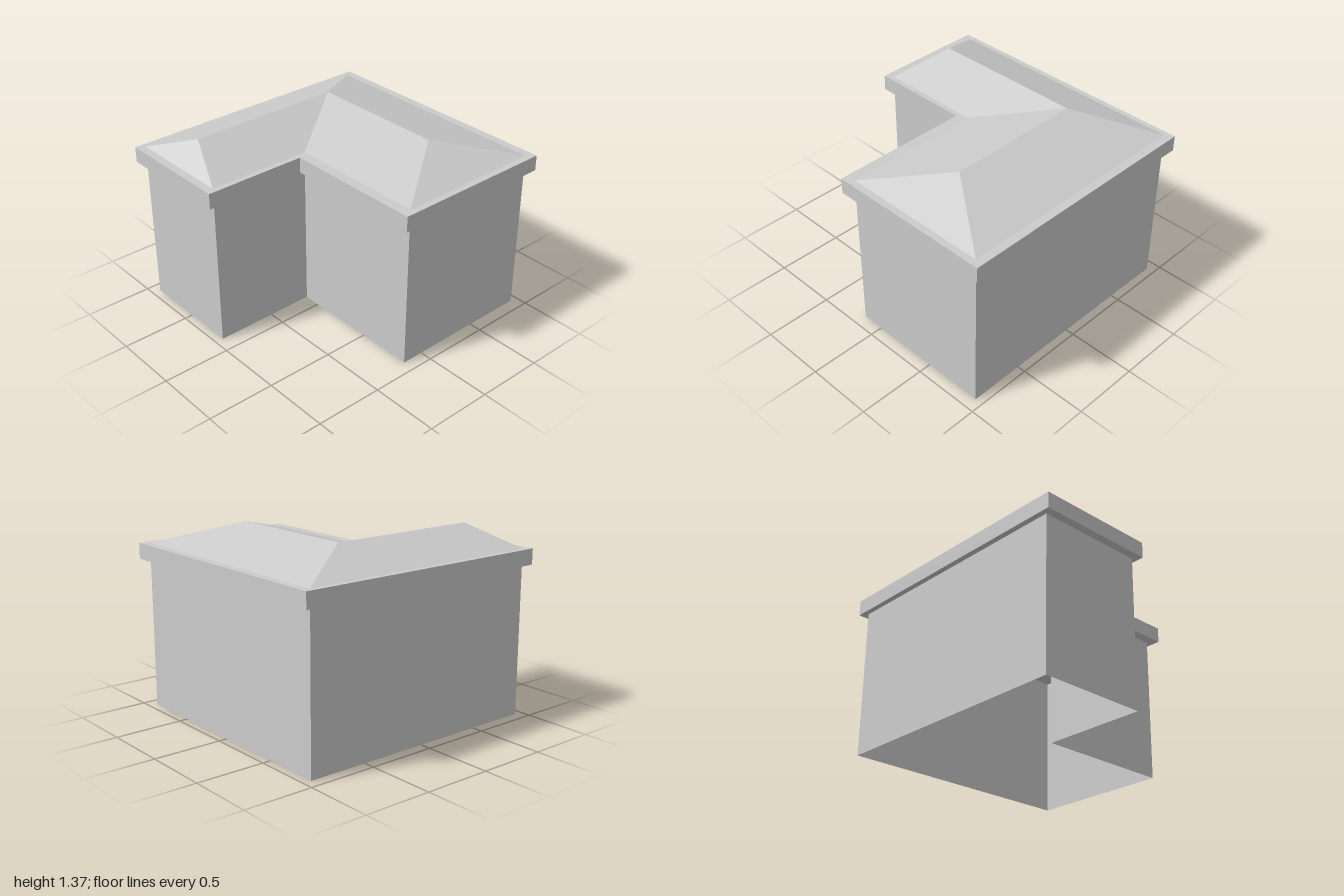
import * as THREE from 'three';

const WALL_TOP = 1.1, EAVE_TOP = 1.215, RIDGE = 1.365;

function createMesh(name, geometry, side = THREE.FrontSide) {
  const mesh = new THREE.Mesh(geometry,
    new THREE.MeshStandardMaterial({ color: 0xcccccc, flatShading: true, side }));
  mesh.name = name;
  return mesh;
}

// Flat-sided surface from polygons of [x, y, z] corners, counter-clockwise from outside
function facets(polygons) {
  const positions = [];
  for (const p of polygons)
    for (let i = 1; i < p.length - 1; i++) positions.push(...p[0], ...p[i], ...p[i + 1]);
  const geometry = new THREE.BufferGeometry();
  geometry.setAttribute('position', new THREE.Float32BufferAttribute(positions, 3));
  geometry.computeVertexNormals();
  return geometry;
}

// L-shaped plan as [x, z], running counter-clockwise seen from above
const plan = (x, back, front, innerX, innerZ) => [
  [-x, back], [-x, innerZ], [innerX, innerZ], [innerX, front], [x, front], [x, back],
];

export function createModel() {
  const group = new THREE.Group();
  group.name = 'lShapedBuilding';
  const wallPlan = plan(0.94, -0.92, 0.91, -0.165, -0.125);
  const eavePlan = plan(1, -0.96, 0.96, -0.24, -0.085);

  // Thin walls, open underneath
  const walls = wallPlan.map(([x, z], i) => {
    const [nx, nz] = wallPlan[(i + 1) % wallPlan.length];
    return [[x, 0, z], [nx, 0, nz], [nx, WALL_TOP, nz], [x, WALL_TOP, z]];
  });
  group.add(createMesh('walls', facets(walls), THREE.DoubleSide));

  // Overhanging eave slab
  const shape = new THREE.Shape(eavePlan.map(([x, z]) => new THREE.Vector2(x, -z)));
  const slab = new THREE.ExtrudeGeometry(shape, { depth: EAVE_TOP - WALL_TOP, bevelEnabled: false });
  slab.rotateX(-Math.PI / 2).translate(0, WALL_TOP, 0);
  group.add(createMesh('eaves', slab));

  // Hipped roof: two ridges meeting over the corner, with a valley inside the L
  const [backLeft, wingLeft, valley, frontLeft, frontRight, backRight] =
    wallPlan.map(([x, z]) => [x, EAVE_TOP, z]);
  const ridgeLeft = [-0.765, RIDGE, -0.525];
  const ridgeCorner = [0.395, RIDGE, -0.525];
  const ridgeFront = [0.395, RIDGE, 0.51];
  group.add(createMesh('roof', facets([
    [backLeft, wingLeft, ridgeLeft],
    [wingLeft, valley, ridgeCorner, ridgeLeft],
    [valley, frontLeft, ridgeFront, ridgeCorner],
    [frontLeft, frontRight, ridgeFront],
    [frontRight, backRight, ridgeCorner, ridgeFront],
    [backRight, backLeft, ridgeLeft, ridgeCorner],
  ]), THREE.DoubleSide));

  return group;
}
